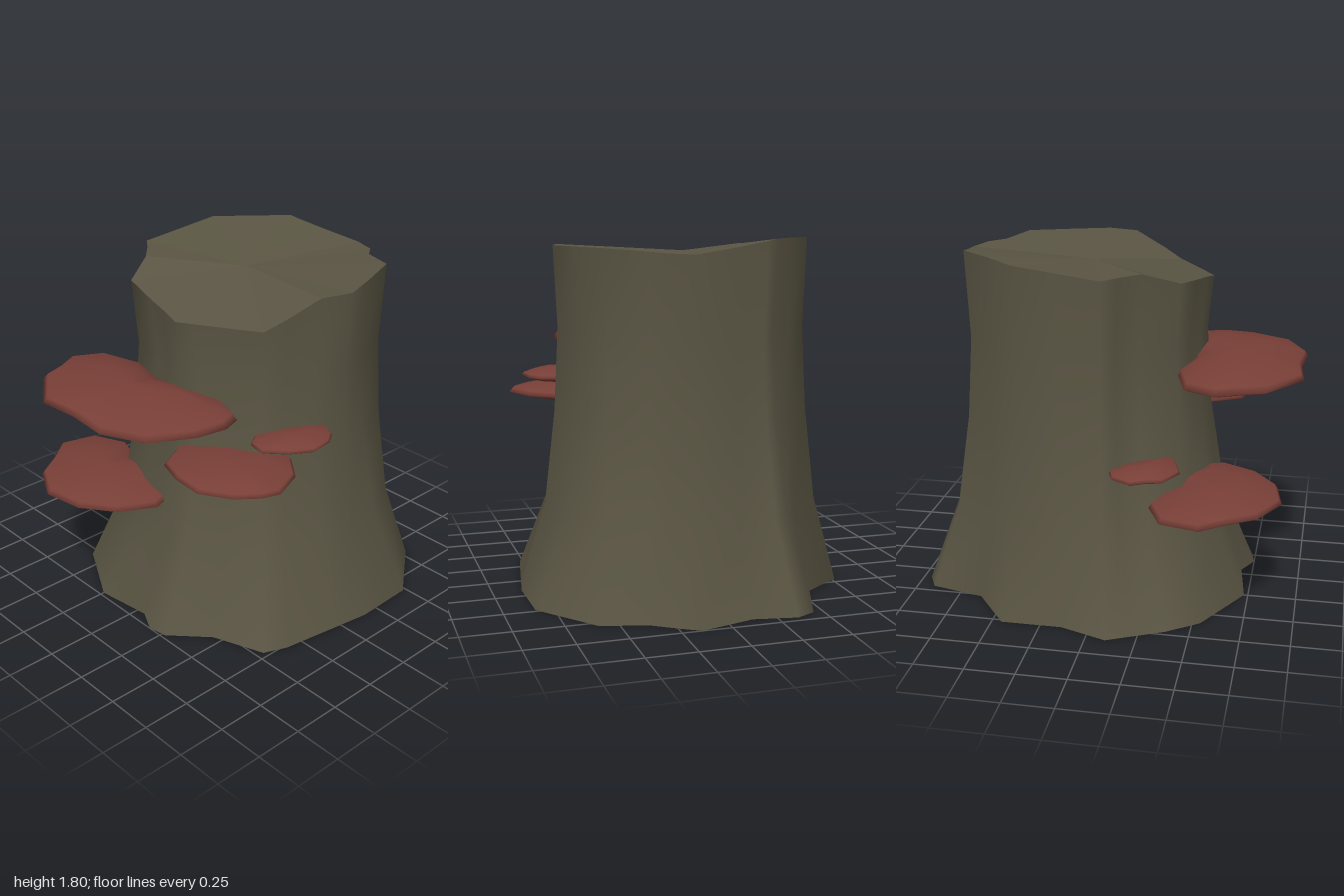
import * as THREE from 'three';

// Skin between closed rings of [x, y, z] points, listed bottom to top
function loft(rings) {
  const n = rings[0].length, index = [];
  for (let r = 0; r < rings.length - 1; r++) {
    for (let i = 0; i < n; i++) {
      const a = r * n + i, b = r * n + (i + 1) % n;
      index.push(b, a, a + n, b, a + n, b + n);
    }
  }
  const geometry = new THREE.BufferGeometry();
  geometry.setAttribute('position', new THREE.Float32BufferAttribute(rings.flat(2), 3));
  geometry.setIndex(index);
  geometry.computeVertexNormals();
  return geometry;
}

// Trunk columns: foot x, foot z, rim x, rim z, rim height
const COLUMNS = [
  [0.15, -1.0, 0.12, -0.8, 1.735], [0.26, -0.93, 0.25, -0.75, 1.74],
  [0.36, -0.86, 0.31, -0.67, 1.745], [0.6, -0.79, 0.5, -0.59, 1.76],
  [0.84, -0.48, 0.59, -0.36, 1.76], [0.85, -0.16, 0.66, -0.16, 1.76],
  [0.82, 0.03, 0.61, 0.0, 1.76], [0.77, 0.34, 0.55, 0.17, 1.68],
  [0.72, 0.46, 0.5, 0.27, 1.63], [0.45, 0.56, 0.34, 0.365, 1.63],
  [0.27, 0.73, 0.2, 0.445, 1.63], [0.17, 0.75, 0.12, 0.49, 1.63],
  [0.05, 0.69, 0.0, 0.46, 1.645], [-0.25, 0.73, -0.14, 0.43, 1.66],
  [-0.6, 0.54, -0.35, 0.38, 1.685], [-0.72, 0.38, -0.45, 0.2, 1.745],
  [-0.8, 0.22, -0.56, 0.1, 1.745], [-0.86, 0.1, -0.64, 0.04, 1.745],
  [-0.77, -0.14, -0.62, -0.18, 1.77], [-0.77, -0.45, -0.6, -0.4, 1.795],
  [-0.52, -0.63, -0.45, -0.56, 1.8], [-0.45, -0.91, -0.31, -0.72, 1.8],
  [-0.35, -0.96, -0.26, -0.73, 1.79], [-0.13, -0.92, -0.1, -0.76, 1.765],
];

// Height and amount of root flare for each trunk ring below the rim
const FLARE = [[0, 1], [0.45, 0.32], [0.93, 0.02], [1.35, -0.1]];

// Bracket fungi: lowest and highest y, and outline from the back round by +x
const SHELVES = [
  { name: 'upperFrontShelf', low: 1.125, high: 1.3, outline: [
    [-0.08, 0.43], [0.16, 0.36], [0.36, 0.37], [0.48, 0.42], [0.515, 0.52], [0.49, 0.68], [0.37, 0.89],
    [0.15, 0.99], [-0.08, 0.97], [-0.3, 0.99], [-0.54, 0.82], [-0.58, 0.7], [-0.64, 0.58], [-0.56, 0.43], [-0.33, 0.37]] },
  { name: 'lowerLeftShelf', low: 0.535, high: 0.68, outline: [
    [-0.4, 0.34], [-0.2, 0.28], [-0.02, 0.38], [0.05, 0.58], [-0.05, 0.76], [-0.22, 0.88],
    [-0.44, 0.915], [-0.64, 0.81], [-0.74, 0.66], [-0.84, 0.54], [-0.79, 0.35], [-0.6, 0.27]] },
  { name: 'middleRightShelf', low: 0.885, high: 1.0, outline: [
    [0.4, 0.19], [0.58, 0.15], [0.72, 0.26], [0.79, 0.43], [0.76, 0.52], [0.67, 0.63],
    [0.52, 0.715], [0.35, 0.7], [0.2, 0.65], [0.11, 0.48], [0.16, 0.29], [0.26, 0.19]] },
  { name: 'smallRightShelf', low: 1.03, high: 1.11, outline: [
    [0.61, -0.05], [0.7, -0.01], [0.75, 0.06], [0.765, 0.18], [0.7, 0.29],
    [0.6, 0.38], [0.51, 0.36], [0.455, 0.28], [0.47, 0.15], [0.53, 0.04]] },
  { name: 'smallLeftShelf', low: 0.745, high: 0.83, outline: [
    [-0.62, 0.075], [-0.52, 0.13], [-0.44, 0.23], [-0.37, 0.36], [-0.46, 0.39],
    [-0.57, 0.42], [-0.7, 0.35], [-0.72, 0.27], [-0.76, 0.2], [-0.7, 0.1]] },
];

// Shelf cross-section: outline scale and share of the thickness
const PROFILE = [[0, 0], [0.5, 0.16], [0.93, 0.42], [1, 0.52], [0.95, 0.68], [0.5, 0.93], [0, 1]];

function shelfGeometry({ low, high, outline }) {
  const cx = outline.reduce((s, p) => s + p[0], 0) / outline.length;
  const cz = outline.reduce((s, p) => s + p[1], 0) / outline.length;
  return loft(PROFILE.map(([k, h]) =>
    outline.map(([x, z]) => [cx + (x - cx) * k, low + (high - low) * h, cz + (z - cz) * k])));
}

export function createModel() {
  const bark = new THREE.MeshStandardMaterial({ color: 0x5a5543, side: THREE.DoubleSide });
  bark.name = 'bark';
  const fungus = new THREE.MeshStandardMaterial({ color: 0x783f37 });
  fungus.name = 'fungus';

  const model = new THREE.Group();
  model.name = 'treeStump';
  const add = (name, geometry, material) => {
    const mesh = new THREE.Mesh(geometry, material);
    mesh.name = name;
    model.add(mesh);
  };

  // Hollow trunk flaring into the roots, open underneath
  const rim = COLUMNS.map(([, , x, z, y]) => [x, y, z]);
  const rings = FLARE.map(([y, t]) =>
    COLUMNS.map(([fx, fz, x, z]) => [x + (fx - x) * t, y, z + (fz - z) * t]));
  add('trunk', loft([...rings, rim]), bark);

  // Uneven cut top, faceted towards the heart of the trunk
  const heart = rim.map(() => [-0.03, 1.725, -0.12]);
  const cut = loft([rim, heart]).toNonIndexed();
  cut.computeVertexNormals();
  add('cutTop', cut, bark);

  // Fungi growing out of the bark
  for (const shelf of SHELVES) add(shelf.name, shelfGeometry(shelf), fungus);

  return model;
}
